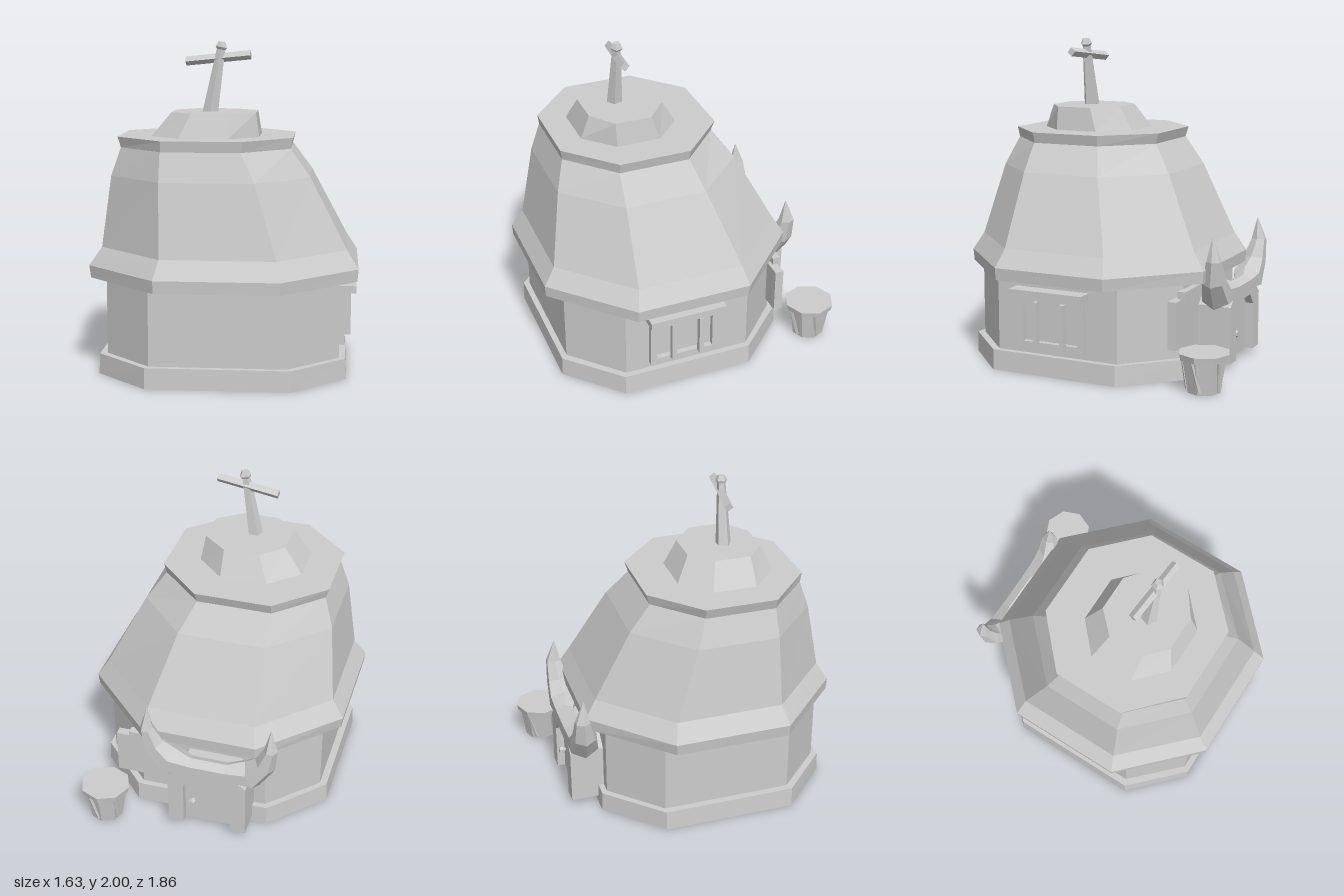
import * as THREE from 'three';

const stone = new THREE.MeshStandardMaterial({ color: 0xcccccc, flatShading: true });
stone.name = 'plain grey';

function add(parent, name, geo, x = 0, y = 0, z = 0) {
  const m = new THREE.Mesh(geo, stone);
  m.name = name;
  m.position.set(x, y, z);
  parent.add(m);
  return m;
}

// Box given by its min and max on each axis
function block(parent, name, x0, x1, y0, y1, z0, z1) {
  return add(parent, name, new THREE.BoxGeometry(x1 - x0, y1 - y0, z1 - z0),
    (x0 + x1) / 2, (y0 + y1) / 2, (z0 + z1) / 2);
}

// Closed skin over rings of equal point count (counter-clockwise seen from the end)
function loft(rings) {
  const n = rings[0].length, pos = [], tri = (...p) => p.forEach(v => pos.push(...v));
  for (let r = 0; r < rings.length - 1; r++) {
    for (let i = 0; i < n; i++) {
      const j = (i + 1) % n, a = rings[r], b = rings[r + 1];
      tri(a[i], a[j], b[j]);
      tri(a[i], b[j], b[i]);
    }
  }
  const first = rings[0], last = rings[rings.length - 1];
  for (let i = 1; i < n - 1; i++) {
    tri(first[0], first[i + 1], first[i]);
    tri(last[0], last[i], last[i + 1]);
  }
  const g = new THREE.BufferGeometry();
  g.setAttribute('position', new THREE.Float32BufferAttribute(pos, 3));
  g.computeVertexNormals();
  return g;
}

// Uneven octagon: outer limits in x and z, plus the limits of its straight sides
function octagon(y, [x0, x1, sx0, sx1], [z0, z1, sz0, sz1]) {
  return [[sx0, y, z1], [sx1, y, z1], [x1, y, sz1], [x1, y, sz0],
    [sx1, y, z0], [sx0, y, z0], [x0, y, sz0], [x0, y, sz1]];
}

// Tapered bar between two points
function rod(parent, name, a, b, ra, rb, sides) {
  const p = new THREE.Vector3(...a), q = new THREE.Vector3(...b), d = q.clone().sub(p);
  const m = add(parent, name, new THREE.CylinderGeometry(rb, ra, d.length(), sides));
  m.position.copy(p).add(q).multiplyScalar(0.5);
  m.quaternion.setFromUnitVectors(new THREE.Vector3(0, 1, 0), d.normalize());
  return m;
}

function poly(points) {
  return new THREE.Shape(points.map(p => new THREE.Vector2(...p)));
}

function buildHut(root) {
  const g = new THREE.Group();
  g.name = 'hut';
  root.add(g);
  // Hollow underneath: floor, inner side, lower edge, outer side, ledge
  const inX = [-0.742, 0.737, -0.427, 0.422], inZ = [-0.594, 0.864, -0.267, 0.557];
  add(g, 'foundation', loft([
    octagon(0.12, inX, inZ),
    octagon(0, inX, inZ),
    octagon(0, [-0.75, 0.745, -0.43, 0.425], [-0.6, 0.87, -0.27, 0.56]),
    octagon(0.125, [-0.743, 0.738, -0.43, 0.425], [-0.595, 0.866, -0.27, 0.56]),
  ]));
  add(g, 'walls', loft([0.122, 0.6].map(y =>
    octagon(y, [-0.7, 0.7, -0.41, 0.4], [-0.56, 0.83, -0.265, 0.54]))));
  add(g, 'roof', loft([
    octagon(0.58, [-0.805, 0.805, -0.365, 0.357], [-0.665, 0.928, -0.22, 0.495]),
    octagon(0.655, [-0.815, 0.812, -0.368, 0.362], [-0.67, 0.932, -0.227, 0.495]),
    octagon(0.765, [-0.74, 0.742, -0.34, 0.337], [-0.6, 0.862, -0.2, 0.465]),
    octagon(1.2, [-0.68, 0.52, -0.35, 0.205], [-0.375, 0.775, -0.05, 0.455]),
    octagon(1.37, [-0.62, 0.4, -0.35, 0.12], [-0.25, 0.715, 0.01, 0.45]),
  ]));
  add(g, 'roofRim', loft([
    octagon(1.37, [-0.62, 0.4, -0.345, 0.12], [-0.25, 0.715, 0.012, 0.448]),
    octagon(1.435, [-0.64, 0.415, -0.345, 0.13], [-0.27, 0.725, 0.005, 0.45]),
  ]));
  add(g, 'roofCap', loft([
    octagon(1.435, [-0.44, 0.21, -0.26, 0.035], [-0.045, 0.565, 0.12, 0.395]),
    octagon(1.58, [-0.32, 0.19, -0.19, 0.035], [0.04, 0.51, 0.17, 0.395]),
  ]));
}

function buildRoofCross(root) {
  const g = new THREE.Group();
  g.name = 'roofCross';
  root.add(g);
  rod(g, 'post', [-0.093, 1.57, 0.302], [-0.026, 1.965, 0.305], 0.05, 0.026, 5);
  rod(g, 'postKnobLower', [-0.028, 1.953, 0.305], [-0.025, 1.968, 0.305], 0.028, 0.038, 5);
  rod(g, 'postKnobUpper', [-0.025, 1.968, 0.305], [-0.022, 2, 0.305], 0.038, 0.022, 5);
  rod(g, 'crossBar', [-0.243, 1.882, 0.277], [0.152, 1.922, 0.318], 0.028, 0.028, 4);
}

// Barred window on the +x wall
function buildSideWindow(root) {
  const g = new THREE.Group();
  g.name = 'sideWindow';
  g.position.set(0.69, 0, 0.165);
  g.rotation.y = Math.PI / 2;
  root.add(g);
  const frame = poly([[-0.225, 0.165], [0.225, 0.165], [0.225, 0.49], [-0.225, 0.49]]);
  frame.holes.push(poly([[-0.185, 0.205], [-0.185, 0.445], [0.182, 0.445], [0.182, 0.205]]));
  add(g, 'windowFrame', new THREE.ExtrudeGeometry(frame, { depth: 0.045, bevelEnabled: false }));
  block(g, 'windowLintel', -0.245, 0.245, 0.49, 0.535, 0, 0.112);
  for (const x of [-0.085, 0.095]) {
    block(g, 'windowBar', x - 0.014, x + 0.014, 0.197, 0.46, 0.045, 0.082);
  }
}

function buildBackShutter(root) {
  block(root, 'backShutter', 0.22, 0.56, 0.21, 0.5, -0.582, -0.527);
  block(root, 'backShutterLintel', 0.22, 0.47, 0.5, 0.545, -0.6, -0.55);
}

// Door with its frame, knob and a horn over it, facing -z
function buildDoor(root) {
  const g = new THREE.Group();
  g.name = 'door';
  g.position.x = -0.087;
  root.add(g);
  const foot = 0.045;
  const frame = poly([[-0.25, foot], [-0.15, foot], [-0.15, 0.34], [-0.09, 0.41], [0.09, 0.41], [0.15, 0.34],
    [0.15, foot], [0.25, foot], [0.25, 0.4], [0.17, 0.47], [-0.17, 0.47], [-0.25, 0.4]]);
  add(g, 'doorFrame', new THREE.ExtrudeGeometry(frame, { depth: 0.22, bevelEnabled: false }), 0, 0, -0.77);
  const panel = poly([[-0.155, foot], [0.155, foot], [0.155, 0.34], [0.095, 0.415], [-0.095, 0.415], [-0.155, 0.34]]);
  add(g, 'doorPanel', new THREE.ExtrudeGeometry(panel, { depth: 0.16, bevelEnabled: false }), 0, 0, -0.72);
  rod(g, 'doorKnobStem', [0.1, 0.2, -0.71], [0.1, 0.2, -0.745], 0.012, 0.012, 6);
  rod(g, 'doorKnob', [0.1, 0.2, -0.74], [0.1, 0.2, -0.765], 0.026, 0.02, 6);

  // Path of half a horn: x, y, direction angle, radius across, radius in z, z
  const half = [[0.115, 0.475, 0, 0.055, 0.065, -0.715], [0.27, 0.475, 0.5, 0.095, 0.1, -0.685],
    [0.355, 0.58, 1.1, 0.07, 0.075, -0.7], [0.393, 0.71, 1.45, 0.042, 0.05, -0.715],
    [0.39, 0.85, 1.75, 0.002, 0.002, -0.705]];
  const mirrored = half.map(([x, y, t, r, w, z]) => [-x, y, -t, r, w, z]).reverse();
  const rings = [...mirrored, ...half].map(([x, y, t, r, w, z]) => {
    const ring = [];
    for (let i = 0; i < 6; i++) {
      const a = i * Math.PI / 3, u = Math.cos(a) * r;
      ring.push([x - Math.sin(t) * u, y + Math.cos(t) * u, z + Math.sin(a) * w]);
    }
    return ring;
  });
  add(g, 'horns', loft(rings));
}

function buildBarrel(root) {
  const g = new THREE.Group();
  g.name = 'barrel';
  g.position.set(0.58, 0, -0.77);
  root.add(g);
  add(g, 'barrelBody', new THREE.CylinderGeometry(0.137, 0.103, 0.21, 8), 0, 0.105, 0);
  add(g, 'barrelRim', new THREE.CylinderGeometry(0.157, 0.15, 0.038, 8), 0, 0.216, 0);
  for (let i = 0; i < 5; i++) {
    const a = (i - 0.1) * Math.PI * 0.4, b = a + 0.3;
    rod(g, 'barrelStave', [Math.cos(a) * 0.1, 0.015, Math.sin(a) * 0.1],
      [Math.cos(b) * 0.133, 0.2, Math.sin(b) * 0.133], 0.011, 0.011, 4);
  }
}

export function createModel() {
  const root = new THREE.Group();
  root.name = 'roundHut';
  buildHut(root);
  buildRoofCross(root);
  buildSideWindow(root);
  buildBackShutter(root);
  buildDoor(root);
  buildBarrel(root);
  return root;
}
